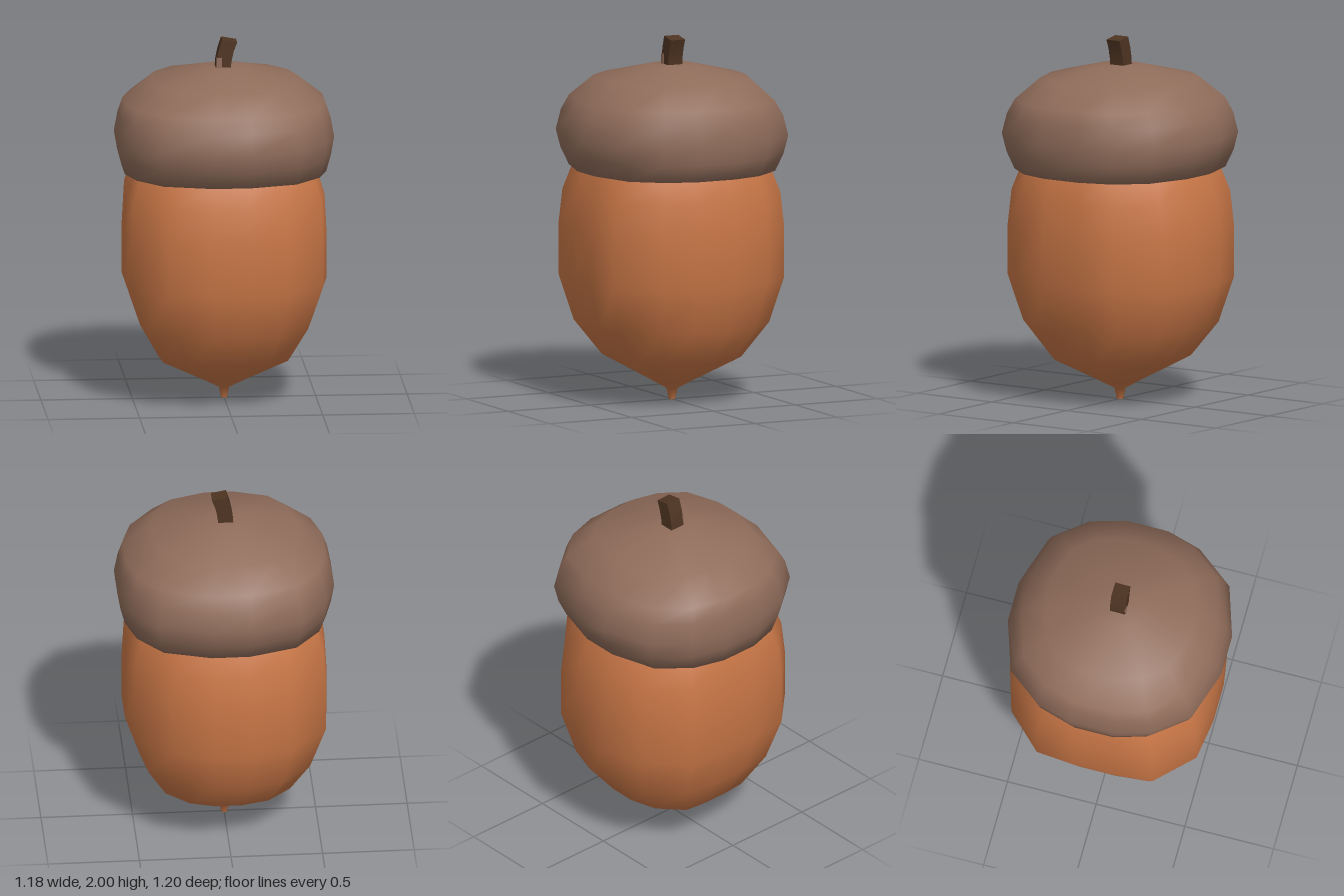
import * as THREE from 'three';

// Mirrors one quadrant of an outline (from +x to +z) into a full loop
function fullOutline(q) {
  const r = [...q].reverse();
  return [
    ...q,
    ...r.map(([x, z]) => [-x, z]),
    ...q.map(([x, z]) => [-x, -z]),
    ...r.map(([x, z]) => [x, -z]),
  ];
}

// Smooth closed loft; rings run bottom to top as [y, half width, half depth]
function loft(outline, rings) {
  const n = outline.length, pos = [], idx = [];
  for (const [y, sx, sz] of rings)
    for (const [x, z] of outline) pos.push(x * sx, y, z * sz);
  const bottom = rings.length * n, top = bottom + 1, last = (rings.length - 1) * n;
  pos.push(0, rings[0][0], 0, 0, rings.at(-1)[0], 0);
  for (let j = 0; j < n; j++) {
    const k = (j + 1) % n;
    for (let i = 0; i < rings.length - 1; i++) {
      const a = i * n + j, b = i * n + k;
      idx.push(a, a + n, b, b, a + n, b + n);
    }
    idx.push(bottom, j, k, top, last + k, last + j);
  }
  const g = new THREE.BufferGeometry();
  g.setAttribute('position', new THREE.Float32BufferAttribute(pos, 3));
  g.setIndex(idx);
  g.computeVertexNormals();
  return g;
}

function material(name, color) {
  const m = new THREE.MeshStandardMaterial({ color });
  m.name = name;
  return m;
}

export function createModel() {
  const group = new THREE.Group();
  group.name = 'acorn';
  const add = (name, geometry, mat) => {
    const mesh = new THREE.Mesh(geometry, mat);
    mesh.name = name;
    group.add(mesh);
  };
  const nutBrown = material('nut orange brown', 0xc87646);
  const capBrown = material('cap brown', 0x8f6c5a);
  const stemBrown = material('stem dark brown', 0x4e3422);

  // Nut: rounded-square body, flat sides set slightly back, corners slightly to -x
  const nutOutline = fullOutline([[1, 0.2], [0.95, 0.57], [0.6, 0.91], [0.2, 1]])
    .map(([x, z]) => {
      if (Math.abs(z) === 1) return [x, z - 0.03];
      return Math.abs(x) === 1 ? [x, z] : [x - 0.015, z];
    });
  // The lowest rings form the small tapered tip
  add('nut', loft(nutOutline, [
    [0, 0.016, 0.016],
    [0.06, 0.028, 0.028],
    [0.11, 0.115, 0.115],
    [0.24, 0.358, 0.348],
    [0.43, 0.465, 0.5],
    [0.68, 0.55, 0.573],
    [0.96, 0.55, 0.573],
    [1.15, 0.54, 0.55],
    [1.28, 0.5, 0.5],
    [1.36, 0.46, 0.46],
  ]), nutBrown);

  // Cap: bulging dome with a tucked-under rim
  const capOutline = fullOutline([[1, 0.21], [0.905, 0.54], [0.66, 0.85], [0.19, 1]]);
  add('cap', loft(capOutline, [
    [1.285, 0.46, 0.46],
    [1.275, 0.55, 0.525],
    [1.37, 0.575, 0.575],
    [1.47, 0.592, 0.602],
    [1.58, 0.572, 0.573],
    [1.66, 0.545, 0.525],
    [1.775, 0.4, 0.405],
    [1.845, 0.115, 0.125],
  ]), capBrown);

  // Stem: square stalk bent towards +x with a sloping top
  const stem = new THREE.BoxGeometry(0.082, 0.18, 0.086, 1, 3, 1);
  const p = stem.attributes.position;
  for (let i = 0; i < p.count; i++) {
    const t = p.getY(i) / 0.18 + 0.5, x = p.getX(i);
    p.setXYZ(i, x - 0.008 + 0.036 * t * t, 1.82 + 0.173 * t - 0.18 * t * x, p.getZ(i) - 0.002);
  }
  stem.computeVertexNormals();
  add('stem', stem, stemBrown);

  // Small scale of the cap lying against the front of the stem
  const scale = new THREE.BoxGeometry(0.03, 0.06, 0.006);
  scale.translate(-0.03, 1.87, 0.041);
  add('capScale', scale, capBrown);

  return group;
}
